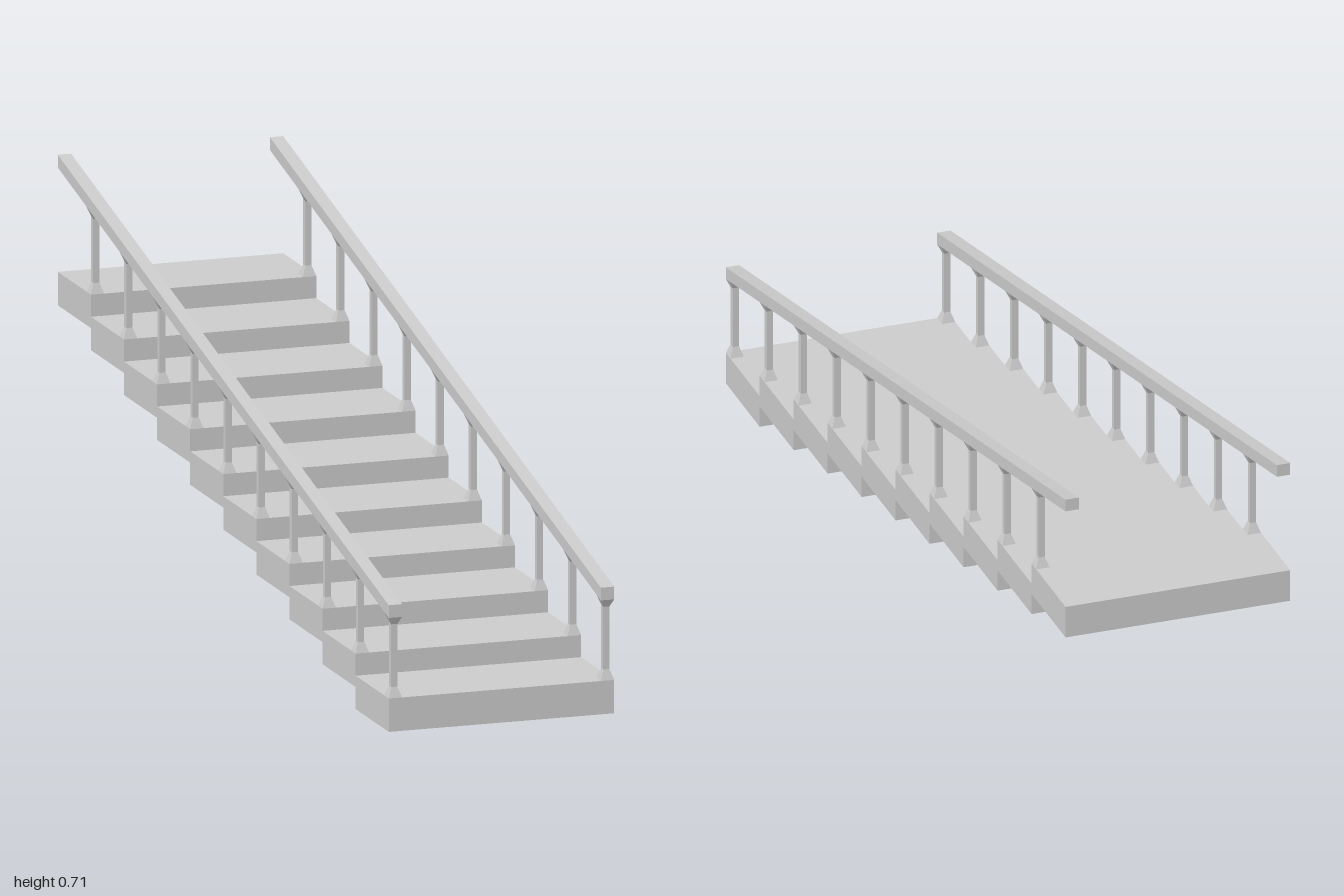
import * as THREE from 'three';

const STEPS = 10, DEPTH = 0.2, RISE = 0.045, WIDTH = 0.472;
const STEP_HEIGHT = 0.068, RAIL = 0.028, RAIL_THICK = 0.026, SLOPE = 0.2268;
const railBottom = z => 0.232 + SLOPE * (1 - z);

const material = new THREE.MeshStandardMaterial({ color: 0xcccccc, flatShading: true });

// Applies a rule to every vertex, then rebuilds flat normals
function reshape(geometry, rule) {
  const g = geometry.toNonIndexed(), p = g.attributes.position;
  const v = new THREE.Vector3();
  for (let i = 0; i < p.count; i++) {
    rule(v.fromBufferAttribute(p, i));
    p.setXYZ(i, v.x, v.y, v.z);
  }
  g.computeVertexNormals();
  return g;
}

function addMesh(parent, name, geometry) {
  const mesh = new THREE.Mesh(geometry, material);
  mesh.name = name;
  parent.add(mesh);
  return mesh;
}

// Square baluster, flared at the foot and at the sloping head under the rail
function balusterGeometry(foot, z0) {
  const widths = [RAIL, 0.013, 0.013, RAIL];
  return reshape(new THREE.BoxGeometry(1, 3, 1, 1, 3, 1), v => {
    const ring = Math.round(v.y + 1.5);
    v.x *= widths[ring];
    v.z = v.z * widths[ring] + z0;
    const head = railBottom(v.z);
    v.y = [foot, foot + 0.021, head - 0.017, head][ring];
  });
}

export function createModel() {
  const model = new THREE.Group();
  model.name = 'staircase';

  // Overlapping block steps climbing toward the back
  const steps = new THREE.Group();
  steps.name = 'steps';
  model.add(steps);
  const stepGeometry = new THREE.BoxGeometry(WIDTH, STEP_HEIGHT, DEPTH);
  for (let i = 0; i < STEPS; i++) {
    addMesh(steps, 'step', stepGeometry)
      .position.set(0, STEP_HEIGHT / 2 + i * RISE, 1 - DEPTH * (i + 0.5));
  }

  // Handrail sheared along the slope, with upright ends
  const railGeometry = reshape(new THREE.BoxGeometry(RAIL, RAIL_THICK, 2), v => {
    v.y += RAIL_THICK / 2 + railBottom(v.z);
  });

  for (const side of [1, -1]) {
    const railing = new THREE.Group();
    railing.name = side > 0 ? 'leftRailing' : 'rightRailing';
    railing.position.x = side * (WIDTH - RAIL) / 2;
    model.add(railing);
    addMesh(railing, 'handrail', railGeometry);
    for (let i = 0; i < STEPS; i++) {
      addMesh(railing, 'baluster', balusterGeometry(STEP_HEIGHT + i * RISE, 1 - RAIL / 2 - i * DEPTH));
    }
  }
  return model;
}
